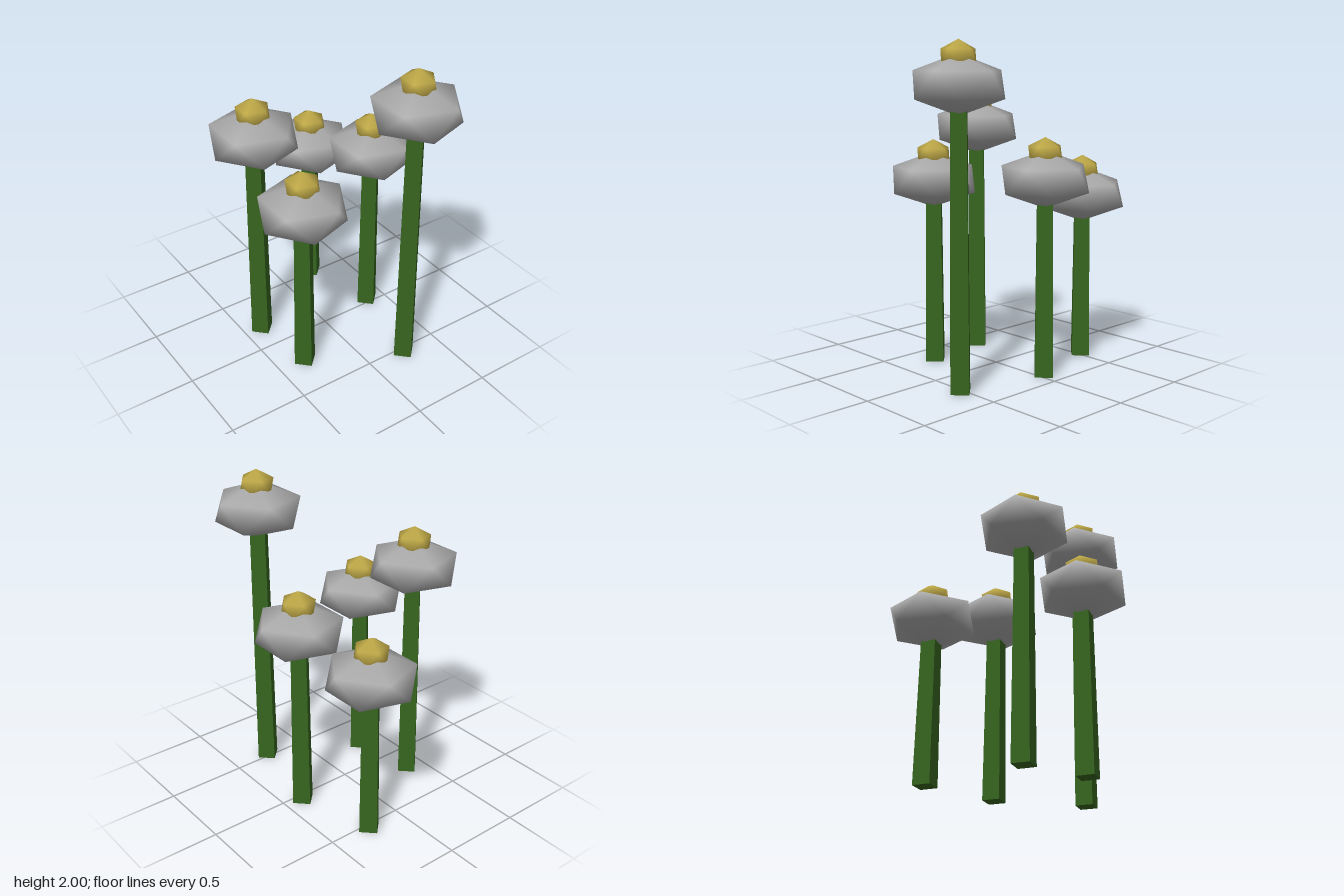
import * as THREE from 'three';

// Squashed icosahedron standing on a vertex: two five-point rings half a step apart, plus two poles
function icoBlob(radius, height) {
  const pos = [0, height, 0, 0, -height, 0];
  const idx = [];
  const ringR = radius * 0.8944, ringY = height * 0.4472;
  for (let i = 0; i < 5; i++) {
    const a = (i / 5) * Math.PI * 2, b = a + Math.PI / 5;
    pos.push(ringR * Math.cos(a), ringY, ringR * Math.sin(a));
    pos.push(ringR * Math.cos(b), -ringY, ringR * Math.sin(b));
  }
  for (let i = 0; i < 5; i++) {
    const u = 2 + i * 2, l = u + 1;
    const un = 2 + ((i + 1) % 5) * 2, ln = un + 1;
    idx.push(0, un, u, u, un, l, l, un, ln, 1, l, ln);
  }
  const g = new THREE.BufferGeometry();
  g.setAttribute('position', new THREE.Float32BufferAttribute(pos, 3));
  g.setIndex(idx);
  g.computeVertexNormals();
  return g;
}

export function createModel() {
  const material = (name, color, flatShading = false) => {
    const m = new THREE.MeshStandardMaterial({ color, flatShading });
    m.name = name;
    return m;
  };
  const green = material('stemGreen', 0x37651f, true);
  const grey = material('petalGrey', 0xacacac);
  const yellow = material('centreYellow', 0xc0aa48);

  const headGeo = icoBlob(0.29, 0.172);
  const centreGeo = icoBlob(0.113, 0.096);

  const model = new THREE.Group();
  model.name = 'flowers';

  // Each flower: x, z and total height
  const flowers = [
    [0.25, 0.525, 2.0],
    [-0.377, -0.187, 1.7],
    [-0.315, 0.232, 1.4],
    [0.374, -0.038, 1.44],
    [0.237, -0.525, 1.29],
  ];

  flowers.forEach(([x, z, top], i) => {
    const flower = new THREE.Group();
    flower.name = `flower${i + 1}`;
    flower.position.set(x, 0, z);
    const add = (name, geo, mat, y) => {
      const mesh = new THREE.Mesh(geo, mat);
      mesh.name = name;
      mesh.position.y = y;
      flower.add(mesh);
    };

    // Square tapered stem ending inside the head
    const stemH = top - 0.26;
    add('stem', new THREE.CylinderGeometry(0.064, 0.077, stemH, 4), green, stemH / 2);
    add('flowerHead', headGeo, grey, top - 0.247);
    add('flowerCentre', centreGeo, yellow, top - 0.096);
    model.add(flower);
  });

  return model;
}
